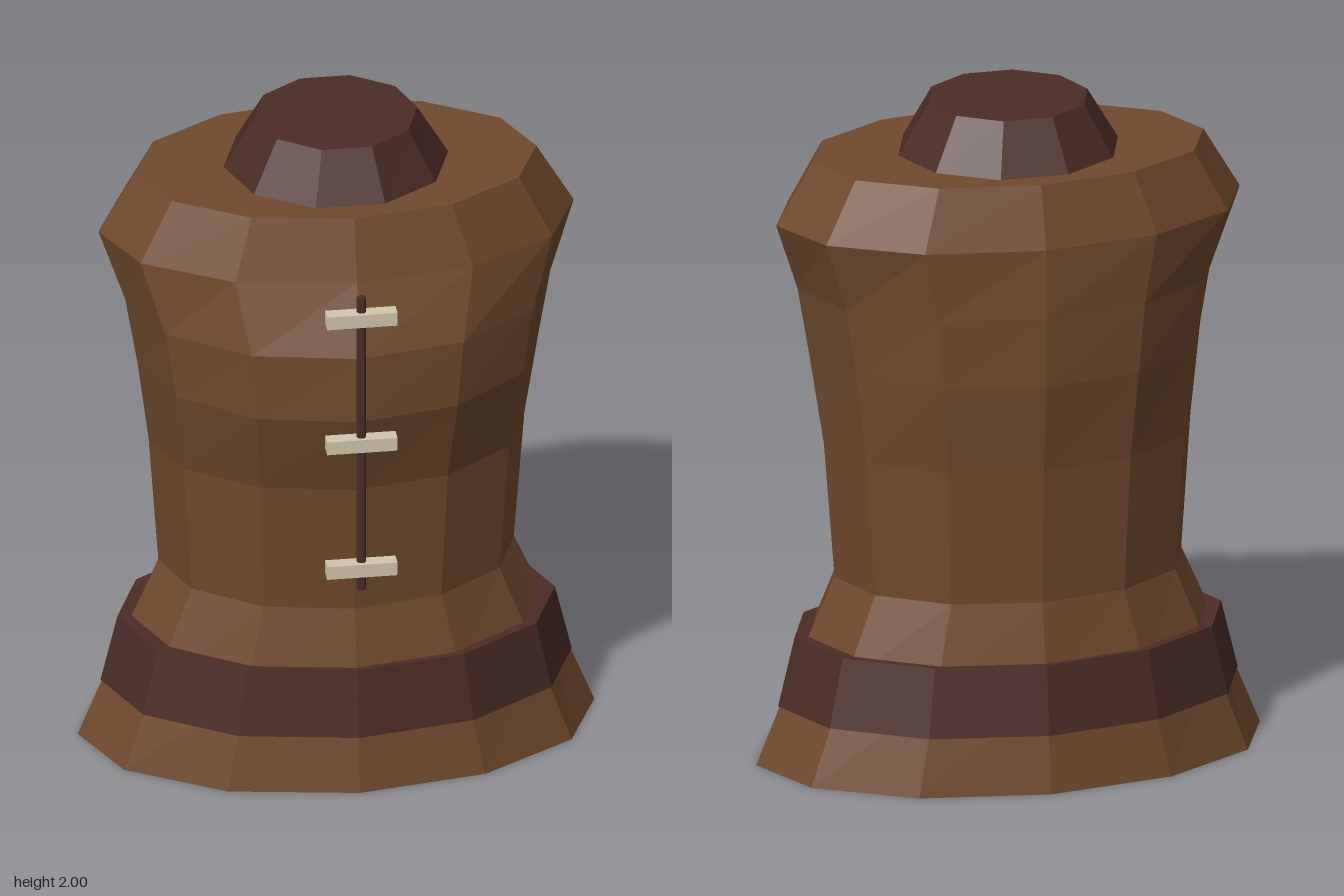
import * as THREE from 'three';

// Closed stack of elliptical rings: [y, x radius, front z, back z]
function loft(rings, sides) {
  const pos = [], index = [];
  for (const [y, rx, front, back] of rings) {
    // the z radius is widened when no vertex lies exactly on the z axis
    const rz = (front - back) / 2 / (sides % 4 ? Math.cos(Math.PI / sides) : 1);
    for (let i = 0; i < sides; i++) {
      const a = (i / sides) * Math.PI * 2;
      pos.push(Math.cos(a) * rx, y, (front + back) / 2 + Math.sin(a) * rz);
    }
  }
  const last = (rings.length - 1) * sides;
  for (let r = 0; r < last; r += sides) {
    for (let i = 0; i < sides; i++) {
      const a = r + i, b = r + (i + 1) % sides;
      index.push(a, a + sides, b, b, a + sides, b + sides);
    }
  }
  // flat end caps
  for (let i = 1; i < sides - 1; i++) {
    index.push(0, i, i + 1, last, last + i + 1, last + i);
  }
  const g = new THREE.BufferGeometry();
  g.setAttribute('position', new THREE.Float32BufferAttribute(pos, 3));
  g.setIndex(index);
  const flat = g.toNonIndexed();
  flat.computeVertexNormals();
  return flat;
}

export function createModel() {
  const group = new THREE.Group();
  const material = (name, color) => {
    const m = new THREE.MeshStandardMaterial({ color, flatShading: true });
    m.name = name;
    return m;
  };
  const leather = material('brown leather', 0x704a2d);
  const trim = material('dark trim', 0x4a2c25);
  const bone = material('bone', 0xd0c7ab);

  const add = (name, geometry, mat) => {
    const mesh = new THREE.Mesh(geometry, mat);
    mesh.name = name;
    group.add(mesh);
    return mesh;
  };

  // Coat body: flared hem, narrow waist, full chest, sloped shoulders
  add('coatBody', loft([
    [0, 0.763, 0.455, -0.508],
    [0.3, 0.64, 0.41, -0.46],
    [0.56, 0.525, 0.36, -0.41],
    [0.97, 0.555, 0.39, -0.425],
    [1.24, 0.592, 0.478, -0.46],
    [1.45, 0.628, 0.478, -0.46],
    [1.66, 0.702, 0.4, -0.452],
    [1.845, 0.592, 0.347, -0.4],
  ], 12), leather);

  // Band around the hem
  add('hemBand', loft([
    [0.175, 0.696, 0.442, -0.492],
    [0.382, 0.646, 0.412, -0.46],
  ], 12), trim);

  // Tapered collar
  add('collar', loft([
    [1.84, 0.335, 0.268, -0.326],
    [2, 0.24, 0.197, -0.251],
  ], 10), trim);

  // Front closure: a cord with three toggles
  const cord = add('closureCord',
    new THREE.CylinderGeometry(0.0147, 0.0147, 0.965, 6).rotateY(Math.PI / 6), trim);
  cord.position.set(0, 1.178, 0.488);
  for (const y of [0.765, 1.178, 1.592]) {
    const toggle = add('toggle', new THREE.BoxGeometry(0.208, 0.042, 0.044), bone);
    toggle.position.set(0, y, 0.49);
  }
  return group;
}
